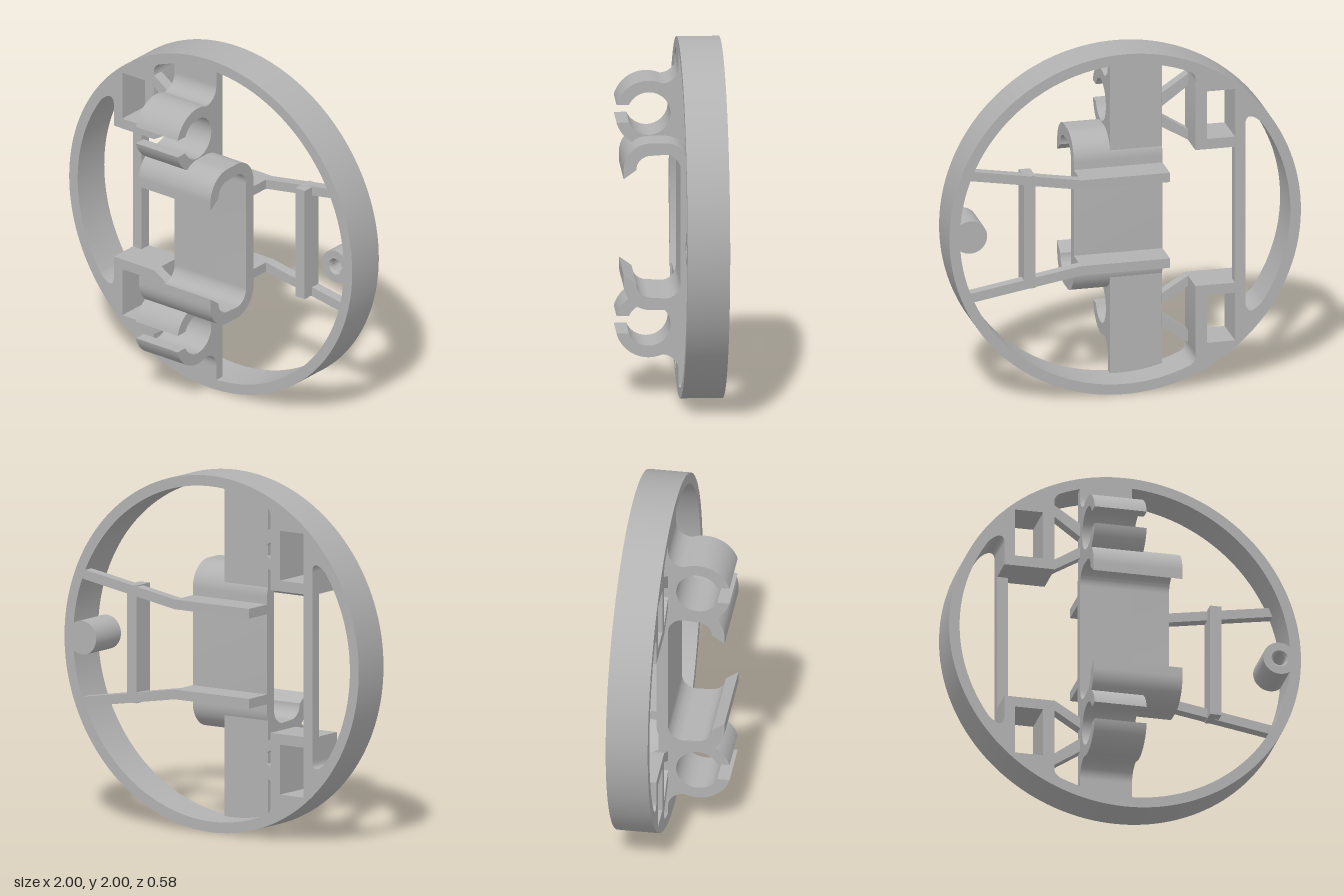
import * as THREE from 'three';
import { toCreasedNormals } from 'three/addons/utils/BufferGeometryUtils.js';

const BACK = -0.29, FRONT = -0.055;
const LEFT = 0.25, MID = 0.04, RIGHT = -0.255;

// Points along a circular arc, angles in degrees
function arc(cx, cy, r, a0, a1, n = 16) {
  return Array.from({ length: n + 1 }, (_, i) => {
    const a = THREE.MathUtils.degToRad(a0 + (a1 - a0) * i / n);
    return [cx + r * Math.cos(a), cy + r * Math.sin(a)];
  });
}
const flip = (pts, s) => pts.map(([x, y]) => [x, y * s]);
const toShape = pts => new THREE.Shape(pts.map(p => new THREE.Vector2(...p)));

export function createModel() {
  const grey = new THREE.MeshStandardMaterial({ color: 0xb2b2b2 });
  grey.name = 'grey plastic';
  const model = new THREE.Group();
  const body = new THREE.Group(); // origin at the ring centre
  body.name = 'wheelBody';
  body.position.y = 1;
  model.add(body);

  function add(name, geometry) {
    const mesh = new THREE.Mesh(toCreasedNormals(geometry, 0.6), grey);
    mesh.name = name;
    body.add(mesh);
  }
  // Outline in x,y extruded from z0 to z1
  function plate(name, shape, z0, z1) {
    const g = new THREE.ExtrudeGeometry(shape, { depth: z1 - z0, bevelEnabled: false, curveSegments: 80 });
    add(name, g.translate(0, 0, z0));
  }
  // Profile in z,y extruded from x0 to x1
  function profile(name, pts, x0, x1) {
    const g = new THREE.ExtrudeGeometry(toShape(pts), { depth: x1 - x0, bevelEnabled: false });
    add(name, g.rotateY(-Math.PI / 2).translate(x1, 0, 0));
  }
  function box(name, x0, x1, y0, y1, z0, z1) {
    const g = new THREE.BoxGeometry(x1 - x0, y1 - y0, z1 - z0);
    add(name, g.translate((x0 + x1) / 2, (y0 + y1) / 2, (z0 + z1) / 2));
  }

  // Ring with the two solid corner blocks
  const ring = new THREE.Shape().absarc(0, 0, 1, 0, Math.PI * 2);
  const inner = new THREE.Path();
  const start = Math.atan2(0.86, -0.37);
  inner.moveTo(0.94 * Math.cos(start), 0.94 * Math.sin(start));
  inner.absarc(0, 0, 0.94, start, -start, true);
  inner.quadraticCurveTo(-0.41, -0.84, -0.4, -0.79);
  inner.lineTo(-0.4, -0.4);
  inner.lineTo(-0.685, -0.4);
  inner.lineTo(-0.685, -0.53);
  const slot = Math.atan2(0.53, -0.776);
  inner.bezierCurveTo(-0.685, -0.585, -0.725, -0.585, 0.94 * Math.cos(slot), -0.94 * Math.sin(slot));
  inner.absarc(0, 0, 0.94, -slot, slot - Math.PI * 2, true);
  inner.bezierCurveTo(-0.725, 0.585, -0.685, 0.585, -0.685, 0.53);
  inner.lineTo(-0.685, 0.4);
  inner.lineTo(-0.4, 0.4);
  inner.lineTo(-0.4, 0.79);
  inner.quadraticCurveTo(-0.41, 0.84, 0.94 * Math.cos(start), 0.94 * Math.sin(start));
  ring.holes.push(inner);
  for (const s of [1, -1]) {
    const window = [[-0.625, 0.46], [-0.465, 0.46], [-0.465, 0.74], [-0.625, 0.74]];
    ring.holes.push(new THREE.Path(flip(window, s).map(p => new THREE.Vector2(...p))));
  }
  plate('ring', ring, BACK, FRONT);

  // Central strip and upright bars
  box('centreStrip', RIGHT, MID, -0.95, 0.95, -0.11, FRONT);
  box('rightBar', -0.685, -0.625, -0.41, 0.41, BACK, -0.225);
  box('leftBar', 0.51, 0.575, -0.33, 0.33, BACK, -0.165);

  // Large cradle: a U with hooked ends
  const half = [
    ...arc(0.03, 0.32, 0.15, 180, 90), ...arc(0.11, 0.32, 0.15, 90, 0),
    [0.26, 0.27], ...arc(0.11, 0.32, 0.08, 0, 90), ...arc(0.03, 0.32, 0.085, 90, 180),
  ];
  profile('largeCradle', [...half, ...flip(half, -1).reverse()], RIGHT, LEFT);

  // Small tube clip with a filleted foot
  const clip = [
    ...arc(0.11, 0.595, 0.185, 15.7, 113, 24), ...arc(0.035, 0.855, 0.09, 268, 180),
    [FRONT, 0.44], ...arc(0.11, 0.595, 0.185, 240, 344.3, 24),
    ...arc(0.11, 0.595, 0.12, 335.4, 24.6, 40),
  ];

  for (const s of [1, -1]) {
    const end = s > 0 ? 'upper' : 'lower';
    profile(end + 'Clip', flip(clip, s), RIGHT, MID);
    // Rib behind the cradle, continued by a sloping spoke
    const y = [0.225 * s, 0.28 * s].sort((a, b) => a - b);
    box(end + 'Rib', RIGHT, LEFT, y[0], y[1], BACK, -0.115);
    plate(end + 'Spoke', toShape(flip([[0.25, 0.225], [0.9, 0.335], [0.9, 0.39], [0.25, 0.28]], s)), BACK, -0.23);
    // Slanted struts between block and strip
    const struts = [
      [[-0.405, 0.4], [-0.4, 0.4], [-0.25, 0.49], [-0.25, 0.555], [-0.4, 0.46], [-0.405, 0.46]],
      [[-0.405, 0.72], [-0.4, 0.72], [-0.25, 0.61], [-0.25, 0.69], [-0.4, 0.79], [-0.405, 0.79]],
    ];
    for (const pts of struts) plate(end + 'Strut', toShape(flip(pts, s)), -0.12, FRONT);
  }

  // Screw boss with a blind hole
  const bossPts = [[0, BACK], [0.095, BACK], [0.095, FRONT], [0.047, FRONT], [0.036, -0.07], [0.036, -0.2], [0, -0.2]];
  const boss = new THREE.LatheGeometry(bossPts.map(p => new THREE.Vector2(...p)), 40);
  add('screwBoss', boss.rotateX(Math.PI / 2).translate(0.88, 0, 0));

  return model;
}
